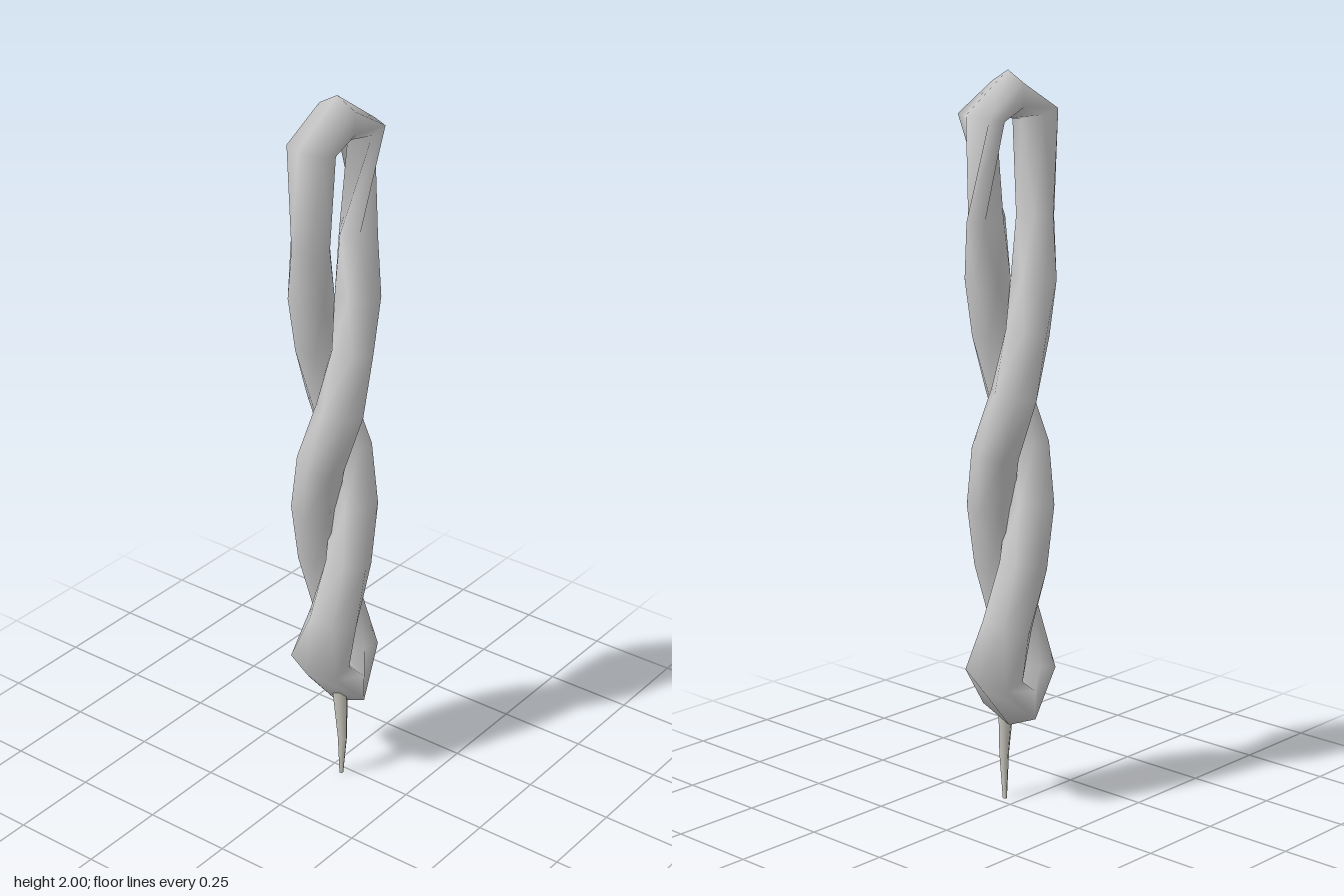
import * as THREE from 'three';
import { mergeVertices } from 'three/addons/utils/BufferGeometryUtils.js';

// Sweeps a polygon along rings { p, out, r, w, shift }: r is the half size along
// "out", w the half size across it, shift turns the ring by whole corners.
function sweep(rings, sides) {
  const pos = [], idx = [];
  const n = rings.length;
  rings.forEach((ring, i) => {
    const prev = ring.prev || rings[Math.max(i - 1, 0)].p;
    const next = ring.next || rings[Math.min(i + 1, n - 1)].p;
    const t = next.clone().sub(prev).normalize();
    const out = ring.out.clone().addScaledVector(t, -ring.out.dot(t)).normalize();
    const side = t.clone().cross(out);
    for (let k = 0; k < sides; k++) {
      const a = ((k + (ring.shift || 0)) / sides) * Math.PI * 2;
      const v = ring.p.clone()
        .addScaledVector(out, Math.cos(a) * ring.r)
        .addScaledVector(side, Math.sin(a) * ring.w);
      pos.push(v.x, v.y, v.z);
    }
    if (i === n - 1) return;
    for (let k = 0; k < sides; k++) {
      const a = i * sides + k, b = i * sides + (k + 1) % sides;
      idx.push(a, b, a + sides, b, b + sides, a + sides);
    }
  });
  let geo = new THREE.BufferGeometry();
  geo.setAttribute('position', new THREE.Float32BufferAttribute(pos, 3));
  geo.setIndex(idx);
  geo = mergeVertices(geo, 1e-4);
  geo.computeVertexNormals();
  return geo;
}

export function createModel() {
  const strandGrey = new THREE.MeshStandardMaterial({ color: 0xcccccc });
  const tailGrey = new THREE.MeshStandardMaterial({ color: 0xc9c7bd });
  const group = new THREE.Group();
  const V = (x, y, z) => new THREE.Vector3(x, y, z);

  // Half of the twisted loop, from the top down: x, y, z, r, w
  const half = [
    [0.0, 1.885, 0.102, 0.058, 0.064],
    [-0.026, 1.62, 0.066, 0.055, 0.058],
    [-0.045, 1.46, 0.04, 0.06, 0.062],
    [-0.056, 1.32, 0.005, 0.061, 0.064],
    [-0.045, 1.16, -0.036, 0.062, 0.065],
    [0.0, 1.0, -0.06, 0.062, 0.066],
    [0.04, 0.85, -0.036, 0.063, 0.066],
    [0.051, 0.69, 0.005, 0.062, 0.068],
    [0.034, 0.53, 0.05, 0.063, 0.074],
    [0.0, 0.385, 0.066, 0.06, 0.09],
  ];
  const makeRing = ([x, y, z, r, w], s, shift = 0) => ({
    p: V(s * x + 0.006, y, s * z + (y < 1.7 ? 0.008 : 0)),
    out: V(s * x, 0, s * z), r, w, shift,
  });
  const down = half.map((h) => makeRing(h, 1));
  // The returning half is the same strand turned half round; its top is wrung
  const up = half.map((h, i) => makeRing(h, -1, i === 0 ? 2 : 0)).reverse();

  // Top and bottom bends join the halves
  const apex = (shift) => ({
    p: V(0.008, 1.938, 0), out: V(0, 1, 0), r: 0.062, w: 0.064, shift,
    prev: V(0, 0, -1), next: V(0, 0, 1),
  });
  const bottom = {
    p: V(0.013, 0.305, 0.01), out: V(0, -1, 0), r: 0.08, w: 0.112,
    prev: V(0, 0, 1), next: V(0, 0, -1),
  };
  down[0].prev = apex(0).p;
  const loop = new THREE.Mesh(
    sweep([apex(0), ...down, bottom, ...up, apex(2)], 6), strandGrey);
  loop.name = 'twistedStrand';
  group.add(loop);

  // Thin tail hanging below
  const tailPath = [
    [0.037, 0.3, 0.025, 0.022], [0.04, 0.25, 0.026, 0.021],
    [0.051, 0.13, 0.031, 0.014], [0.042, 0.001, 0.024, 0.006],
    [0.042, 0, 0.024, 0],
  ];
  const tail = new THREE.Mesh(sweep(tailPath.map(([x, y, z, r]) => ({
    p: V(x, y, z), out: V(1, 0, 0), r, w: r,
    prev: V(0, 1, 0), next: V(0, 0, 0),
  })), 6), tailGrey);
  tail.name = 'tail';
  group.add(tail);

  return group;
}
